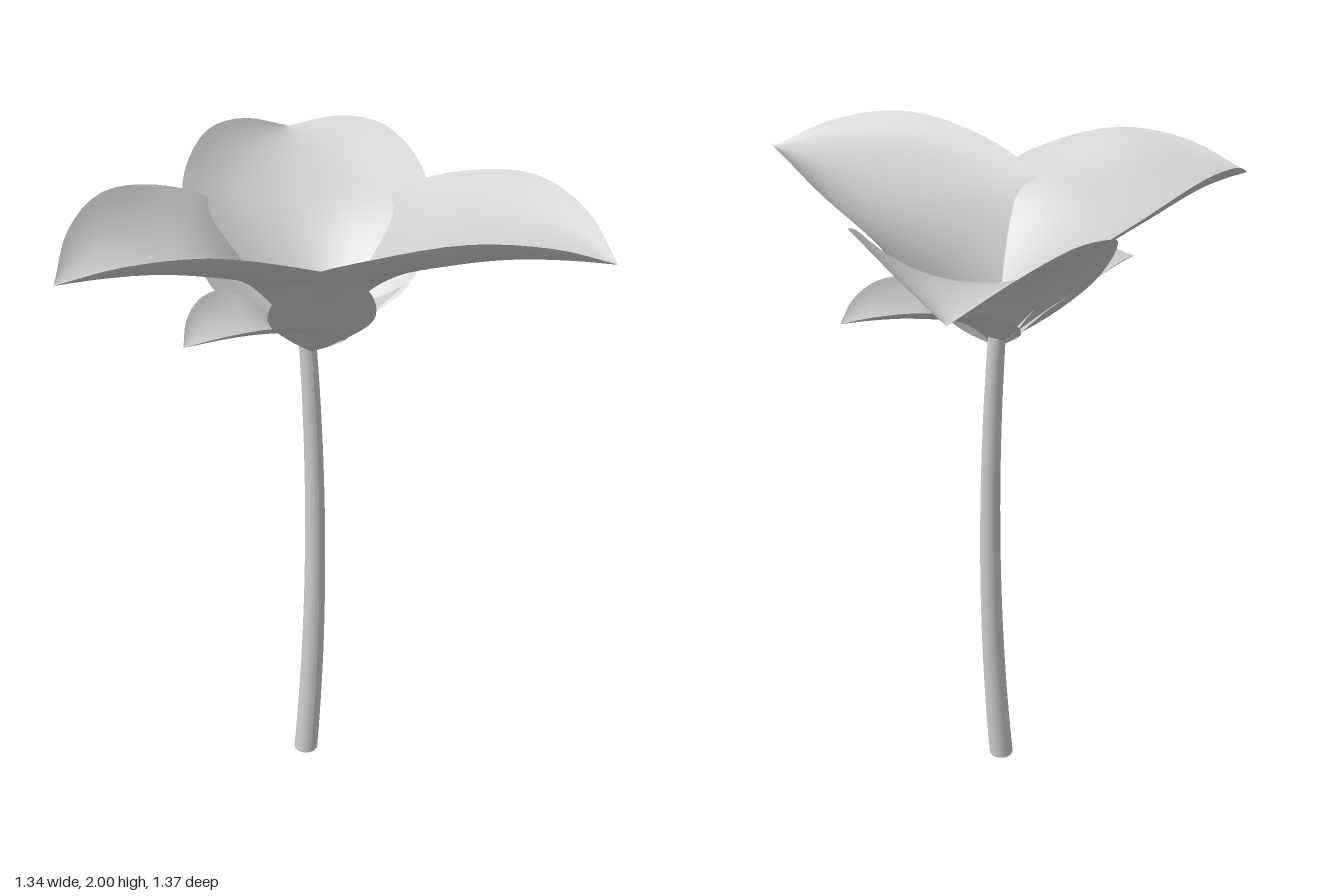
import * as THREE from 'three';

// Half-profile stations from base to tip: distance outward and height of the
// midrib, then distance outward, half width and height of the edge.
const STATIONS = [
  [0, 0, 0, 0, 0],
  [0.06, 0.09, -0.005, 0.15, 0.10],
  [0.13, 0.18, -0.01, 0.265, 0.20],
  [0.21, 0.26, 0.04, 0.325, 0.30],
  [0.31, 0.325, 0.12, 0.348, 0.38],
  [0.43, 0.37, 0.29, 0.338, 0.455],
  [0.56, 0.40, 0.50, 0.262, 0.505],
  [0.68, 0.41, 0.67, 0.14, 0.48],
  [0.79, 0.41, 0.79, 0, 0.41],
];

// Cupped leaf surface growing along +x, dished across z
function leafGeometry() {
  const rows = 32, cols = 20;
  const rib = new THREE.CatmullRomCurve3(STATIONS.map(([a, h]) => new THREE.Vector3(a, h, 0)));
  const edge = new THREE.CatmullRomCurve3(STATIONS.map(([, , a, w, h]) => new THREE.Vector3(a, h, w)));
  const positions = [], index = [];
  for (let i = 0; i <= rows; i++) {
    const c = rib.getPoint(i / rows), e = edge.getPoint(i / rows);
    for (let j = 0; j <= cols; j++) {
      const s = (j / cols) * 2 - 1;
      const k = s * s;
      positions.push(c.x + (e.x - c.x) * k, c.y + (e.y - c.y) * k, e.z * s);
      if (i < rows && j < cols) {
        const a = i * (cols + 1) + j, b = a + cols + 1;
        index.push(a, a + 1, b, b, a + 1, b + 1);
      }
    }
  }
  const g = new THREE.BufferGeometry();
  g.setAttribute('position', new THREE.Float32BufferAttribute(positions, 3));
  g.setIndex(index);
  g.computeVertexNormals();
  return g;
}

export function createModel() {
  const model = new THREE.Group();
  model.name = 'flower';
  const grey = new THREE.MeshStandardMaterial({ color: 0xcccccc, side: THREE.DoubleSide });
  grey.name = 'light grey';

  // Tapered stem, bowed gently sideways
  const stemGeo = new THREE.CylinderGeometry(0.025, 0.038, 1.52, 24, 24);
  stemGeo.translate(0, 0.76, 0);
  const p = stemGeo.attributes.position;
  for (let i = 0; i < p.count; i++) {
    const t = p.getY(i) / 1.52;
    p.setX(i, p.getX(i) + 0.11 + 0.005 * t + 0.1 * t * (1 - t));
    p.setZ(i, p.getZ(i) + 0.035 - 0.045 * t * t);
  }
  stemGeo.computeVertexNormals();
  const stem = new THREE.Mesh(stemGeo, grey);
  stem.name = 'stem';
  model.add(stem);

  const leaf = leafGeometry();
  const addLeaf = (name, degrees, sx, sy, sz) => {
    const mesh = new THREE.Mesh(leaf, grey);
    mesh.name = name;
    mesh.position.set(0.11, 1.47, 0.03);
    mesh.rotation.y = -THREE.MathUtils.degToRad(degrees);
    mesh.scale.set(sx, sy, sz);
    model.add(mesh);
  };

  // Three large overlapping petals; the bloom leans slightly
  addLeaf('petalRight', 171, 1, 1, 1);
  addLeaf('petalFront', 51, 1.06, 1.04, 1);
  addLeaf('petalBack', -69, 0.97, 0.97, 1);

  // Two small opposite sepals below the bloom
  addLeaf('sepalRight', 162, 0.6, 0.43, 0.5);
  addLeaf('sepalLeft', -17, 0.6, 0.43, 0.5);

  return model;
}
